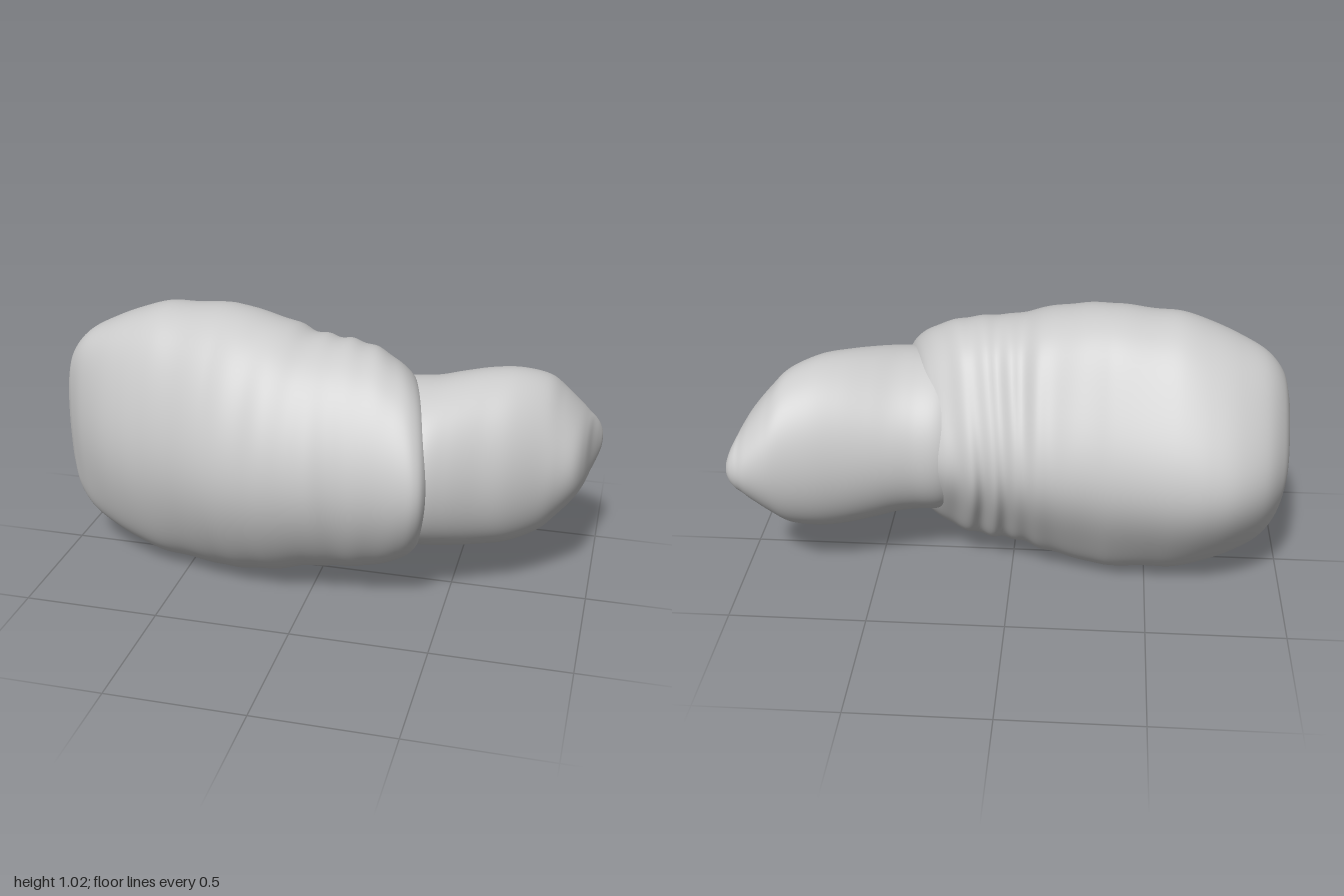
import * as THREE from 'three';

const MID = 0.517; // height of the long axis
const SIDES = 96;

// Stations: [x, back z, front z, half height]
const BODY = [
  [-1.0, -0.06, -0.02, 0.02], [-0.998, -0.1, 0.02, 0.13], [-0.985, -0.2, 0.045, 0.22],
  [-0.96, -0.265, 0.08, 0.3], [-0.9, -0.345, 0.145, 0.37], [-0.8, -0.41, 0.22, 0.425],
  [-0.7, -0.434, 0.27, 0.467], [-0.6, -0.434, 0.305, 0.498], [-0.5, -0.42, 0.34, 0.502],
  [-0.35, -0.395, 0.395, 0.512], [-0.2, -0.365, 0.42, 0.492], [-0.1, -0.35, 0.425, 0.468],
  [0.0, -0.325, 0.41, 0.44], [0.1, -0.305, 0.394, 0.432], [0.2, -0.3, 0.386, 0.412],
  [0.27, -0.285, 0.386, 0.38], [0.32, -0.272, 0.376, 0.345], [0.355, -0.25, 0.345, 0.305],
  [0.375, -0.2, 0.28, 0.25], [0.375, -0.1, 0.15, 0.12],
];
const TIP = [
  [0.15, -0.2, 0.26, 0.24], [0.25, -0.262, 0.32, 0.295], [0.35, -0.275, 0.335, 0.305],
  [0.42, -0.29, 0.33, 0.31], [0.5, -0.31, 0.285, 0.322], [0.6, -0.335, 0.222, 0.332],
  [0.7, -0.36, 0.17, 0.328], [0.8, -0.38, 0.1, 0.295], [0.86, -0.388, 0.06, 0.24],
  [0.92, -0.388, 0.01, 0.172], [0.95, -0.38, -0.06, 0.13], [0.968, -0.373, -0.16, 0.1],
  [0.985, -0.362, -0.23, 0.068], [0.997, -0.345, -0.28, 0.034], [1.0, -0.325, -0.305, 0.01],
];

// Smooth closed skin through the stations; bend may adjust each point
function loft(name, stations, steps, bend, material) {
  const span = new THREE.CatmullRomCurve3(
    stations.map(([x, b, f]) => new THREE.Vector3(x, b, f)), false, 'catmullrom', 0.5);
  const rise = new THREE.CatmullRomCurve3(
    stations.map(([x, , , h]) => new THREE.Vector3(x, h, 0)), false, 'catmullrom', 0.5);
  const pos = [], index = [];
  const p = new THREE.Vector3();
  for (let i = 0; i <= steps; i++) {
    const s = span.getPoint(i / steps);
    const h = rise.getPoint(i / steps).y;
    const zc = (s.y + s.z) / 2, rz = (s.z - s.y) / 2;
    for (let j = 0; j < SIDES; j++) {
      const a = (j / SIDES) * Math.PI * 2;
      p.set(s.x, h * Math.sin(a), rz * Math.cos(a));
      bend(p, a, zc);
      pos.push(p.x, MID + p.y, zc + p.z);
      if (i === steps) continue;
      const k = (j + 1) % SIDES, r = i * SIDES, n = r + SIDES;
      index.push(r + j, n + j, n + k, r + j, n + k, r + k);
    }
  }
  // Close both ends at the mean of their rings
  for (const row of [0, steps]) {
    const centre = new THREE.Vector3(), centreId = pos.length / 3;
    for (let j = 0; j < SIDES; j++) {
      const u = row * SIDES + j, v = row * SIDES + ((j + 1) % SIDES);
      centre.add(p.fromArray(pos, u * 3));
      index.push(centreId, row ? v : u, row ? u : v);
    }
    centre.divideScalar(SIDES);
    pos.push(centre.x, centre.y, centre.z);
  }
  const geo = new THREE.BufferGeometry();
  geo.setAttribute('position', new THREE.Float32BufferAttribute(pos, 3));
  geo.setIndex(index);
  geo.computeVertexNormals();
  const mesh = new THREE.Mesh(geo, material);
  mesh.name = name;
  return mesh;
}

function shapeBody(p, a, zc) {
  const x = p.x, c = Math.cos(a), sn = Math.sin(a);
  // Crown carried forward and flanks slimmed towards it
  p.z *= 1 - (c < 0 ? 0.55 : 0.2) * c * c * sn * sn;
  p.z += 0.8 * Math.max(0, -zc) * sn * sn;
  // Uneven folds, deepest at the back of the bend
  const back = 0.5 - 0.5 * c;
  const zone = Math.exp(-(((x - 0.1) / 0.15) ** 2));
  const wide = Math.exp(-(((x + 0.05) / 0.28) ** 2));
  const uneven = 0.75 + 0.25 * Math.cos(3 * a + x * 9);
  const fold = zone * (0.007 + 0.033 * back * back) * uneven
      * Math.sin(x * 58 + 0.8 * Math.sin(2 * a) + 1.2)
    + wide * 0.009 * uneven * Math.sin(x * 42 + 1.5 * c);
  p.y *= 1 + fold * 0.7;
  p.z *= 1 + fold;
  // Slanted cuff
  p.x += 0.28 * THREE.MathUtils.smoothstep(x, -0.2, 0.33) * (p.z + zc - 0.05);
}

export function createModel() {
  const group = new THREE.Group();
  group.name = 'foldedForm';
  const material = new THREE.MeshStandardMaterial({ color: 0xcccccc });
  group.add(loft('wrinkledBody', BODY, 190, shapeBody, material));
  group.add(loft('taperedTip', TIP, 100, () => {}, material));
  return group;
}
